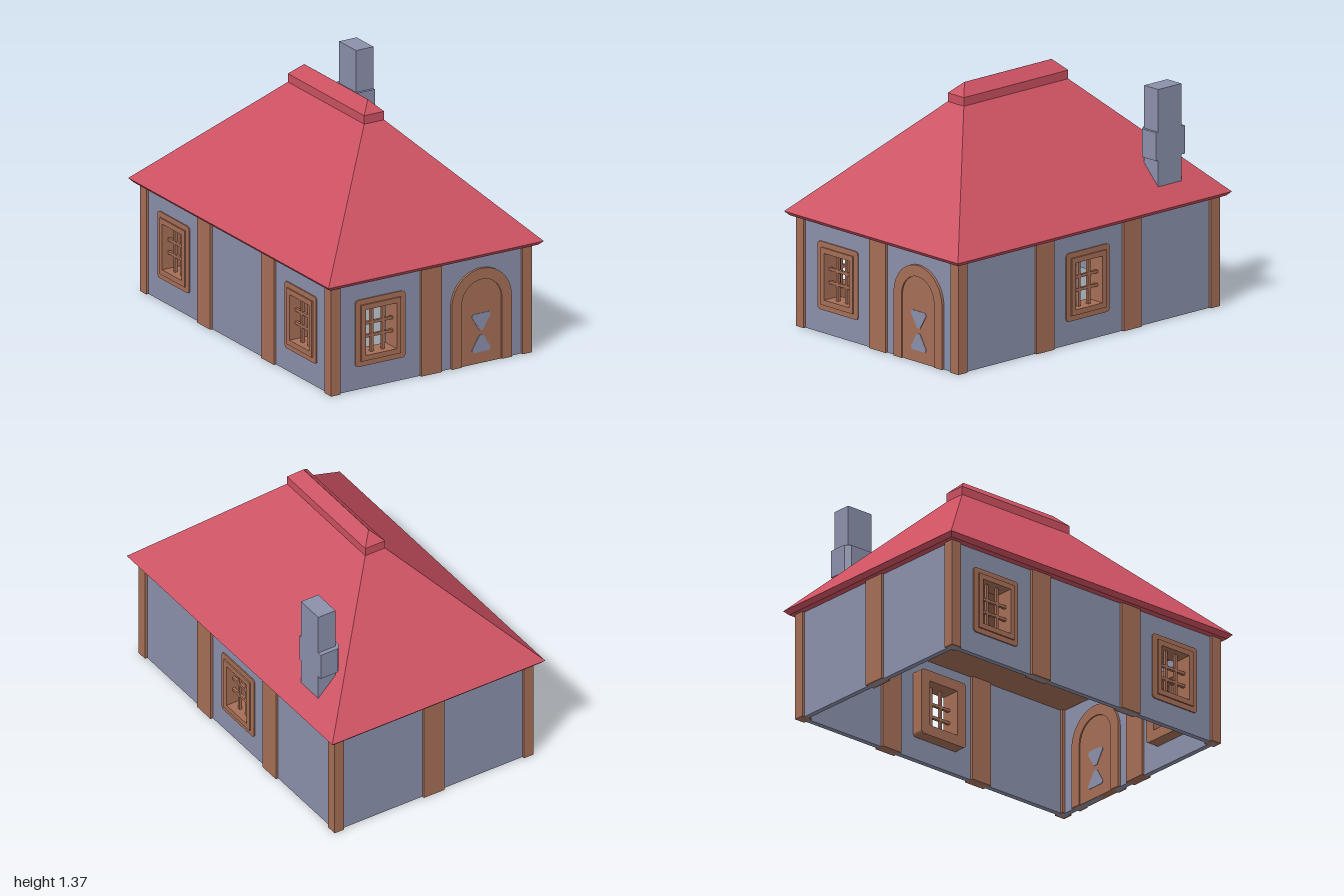
import * as THREE from 'three';

const mat = (name, color) => {
  const m = new THREE.MeshStandardMaterial({ color });
  m.name = name;
  return m;
};

export function createModel() {
  const house = new THREE.Group();
  house.name = 'cottage';
  const wallBlue = mat('wall blue', 0x8c91ac);
  const timber = mat('timber brown', 0xa66f57);
  const roofRed = mat('roof red', 0xcc5161);
  const EAVE = 0.615;

  const add = (parent, name, geo, material, x = 0, y = 0, z = 0) => {
    const mesh = new THREE.Mesh(geo, material);
    mesh.name = name;
    mesh.position.set(x, y, z);
    parent.add(mesh);
    return mesh;
  };
  const box = (parent, name, material, w, h, d, x, y, z) =>
    add(parent, name, new THREE.BoxGeometry(w, h, d), material, x, y, z);

  // Extrude a shape between two depths
  const slab = (shape, z0, z1) =>
    new THREE.ExtrudeGeometry(shape, { depth: z1 - z0, bevelEnabled: false, curveSegments: 16 }).translate(0, 0, z0);
  const polygon = (pts) => new THREE.Shape(pts.map(([x, y]) => new THREE.Vector2(x, y)));
  const rect = (w, h, x = 0, y = 0) =>
    polygon([[x - w / 2, y - h / 2], [x + w / 2, y - h / 2], [x + w / 2, y + h / 2], [x - w / 2, y + h / 2]]);
  const roundRect = (w, h, r) => {
    const s = new THREE.Shape();
    const cx = w / 2 - r, cy = h / 2 - r;
    s.absarc(cx, cy, r, 0, Math.PI / 2);
    s.absarc(-cx, cy, r, Math.PI / 2, Math.PI);
    s.absarc(-cx, -cy, r, Math.PI, Math.PI * 1.5);
    s.absarc(cx, -cy, r, Math.PI * 1.5, Math.PI * 2);
    return s;
  };
  const arch = (r, spring) => {
    const s = new THREE.Shape();
    s.moveTo(r, 0);
    s.lineTo(r, spring);
    s.absarc(0, spring, r, 0, Math.PI);
    s.lineTo(-r, 0);
    return s;
  };

  // Window: deep rounded casing, raised inner ring and lattice bars
  const WIN_Y = 0.32;
  const addWindow = (wall, x) => {
    const g = new THREE.Group();
    g.name = 'window';
    g.position.set(x, WIN_Y, 0);
    wall.add(g);
    const casing = roundRect(0.315, 0.38, 0.02);
    casing.holes.push(rect(0.195, 0.26));
    add(g, 'windowCasing', slab(casing, -0.1, 0.007), timber);
    const ring = rect(0.25, 0.32);
    ring.holes.push(rect(0.195, 0.26));
    add(g, 'windowRing', slab(ring, 0.007, 0.015), timber);
    for (const s of [-1, 1]) {
      box(g, 'windowBarUpright', timber, 0.016, 0.26, 0.016, s * 0.035, 0, -0.03);
      box(g, 'windowBarCross', timber, 0.195, 0.016, 0.016, 0, s * 0.037, -0.03);
    }
  };

  // Wall in its own frame: z = 0 is the outer face, +z points outward
  const addWall = (name, width, dist, angle, windows, posts) => {
    const g = new THREE.Group();
    g.name = name;
    g.rotation.y = angle;
    g.position.set(Math.sin(angle) * dist, 0, Math.cos(angle) * dist);
    house.add(g);
    const panel = rect(width, EAVE, 0, EAVE / 2);
    for (const x of windows) {
      panel.holes.push(rect(0.25, 0.32, x, WIN_Y));
      addWindow(g, x);
    }
    add(g, 'wallPanel', slab(panel, -0.03, 0), wallBlue);
    for (const x of posts) box(g, 'wallPost', timber, 0.13, EAVE, 0.06, x, EAVE / 2, -0.015);
    return g;
  };
  const front = addWall('frontWall', 1.24, 0.94, 0, [-0.318], [0]);
  addWall('backWall', 1.24, 0.94, Math.PI, [], [0]);
  addWall('chimneySideWall', 1.88, 0.62, Math.PI / 2, [0], [-0.318, 0.318]);
  addWall('farSideWall', 1.88, 0.62, -Math.PI / 2, [-0.635, 0.635], [-0.318, 0.318]);

  // Corner posts
  for (const sx of [-1, 1])
    for (const sz of [-1, 1])
      box(house, 'cornerPost', timber, 0.06, EAVE, 0.065, sx * 0.605, EAVE / 2, sz * 0.9225);

  // Arched door with a pair of wedge panels on both faces
  const door = new THREE.Group();
  door.name = 'door';
  door.position.x = 0.317;
  front.add(door);
  const surround = arch(0.189, 0.352);
  // the opening runs up to the door leaf
  const opening = arch(0.127, 0.352);
  const ringPts = [...surround.getPoints(24), ...opening.getPoints(24).reverse()];
  add(door, 'doorSurround', slab(new THREE.Shape(ringPts), -0.045, 0.015), timber);
  add(door, 'doorLeaf', slab(opening, -0.038, 0.007), timber);
  const wedge = [[-0.05, 0.285], [-0.06, 0.27], [-0.012, 0.19], [0.012, 0.19], [0.06, 0.27], [0.05, 0.285]];
  const wedgeLow = wedge.map(([x, y]) => [x, 0.35 - y]).reverse();
  for (const pts of [wedge, wedgeLow])
    for (const z of [-0.041, 0.005]) add(door, 'doorWedge', slab(polygon(pts), z, z + 0.005), wallBlue);

  // Solid stacked from rectangular rings [halfX, halfZ, y], flat sided
  const hipped = (rings) => {
    const pos = [];
    const corners = rings.map(([hx, hz, y]) => [[hx, y, hz], [hx, y, -hz], [-hx, y, -hz], [-hx, y, hz]]);
    const quad = (a, b, c, d) => pos.push(...a, ...b, ...c, ...a, ...c, ...d);
    for (let i = 0; i < rings.length - 1; i++)
      for (let k = 0; k < 4; k++) {
        const n = (k + 1) % 4;
        quad(corners[i][k], corners[i][n], corners[i + 1][n], corners[i + 1][k]);
      }
    const top = corners[corners.length - 1];
    quad(...top);
    quad(...[...corners[0]].reverse());
    const geo = new THREE.BufferGeometry();
    geo.setAttribute('position', new THREE.Float32BufferAttribute(pos, 3));
    geo.computeVertexNormals();
    return geo;
  };
  add(house, 'roof', hipped([[0.658, 0.978, EAVE], [0.68, 1, 0.638], [0.063, 0.381, 1.257]]), roofRed);
  add(house, 'ridgeCap', hipped([[0.063, 0.381, 1.25], [0.063, 0.381, 1.305], [0.0005, 0.318, 1.366]]), roofRed);
  box(house, 'ceiling', timber, 1.19, 0.01, 1.83, 0, EAVE - 0.005, 0);

  // Chimney stack with a chamfered collar
  box(house, 'chimneyStack', wallBlue, 0.11, 0.575, 0.168, 0.53, 0.9875, -0.635);
  const collar = polygon([[0.585, 0.535], [0.585, 0.745], [0.475, 0.745], [0.452, 0.715], [0.452, 0.565], [0.475, 0.535]]);
  const collarGeo = slab(collar, 0.88, 1.037).rotateX(-Math.PI / 2);
  add(house, 'chimneyCollar', collarGeo, wallBlue);

  return house;
}
